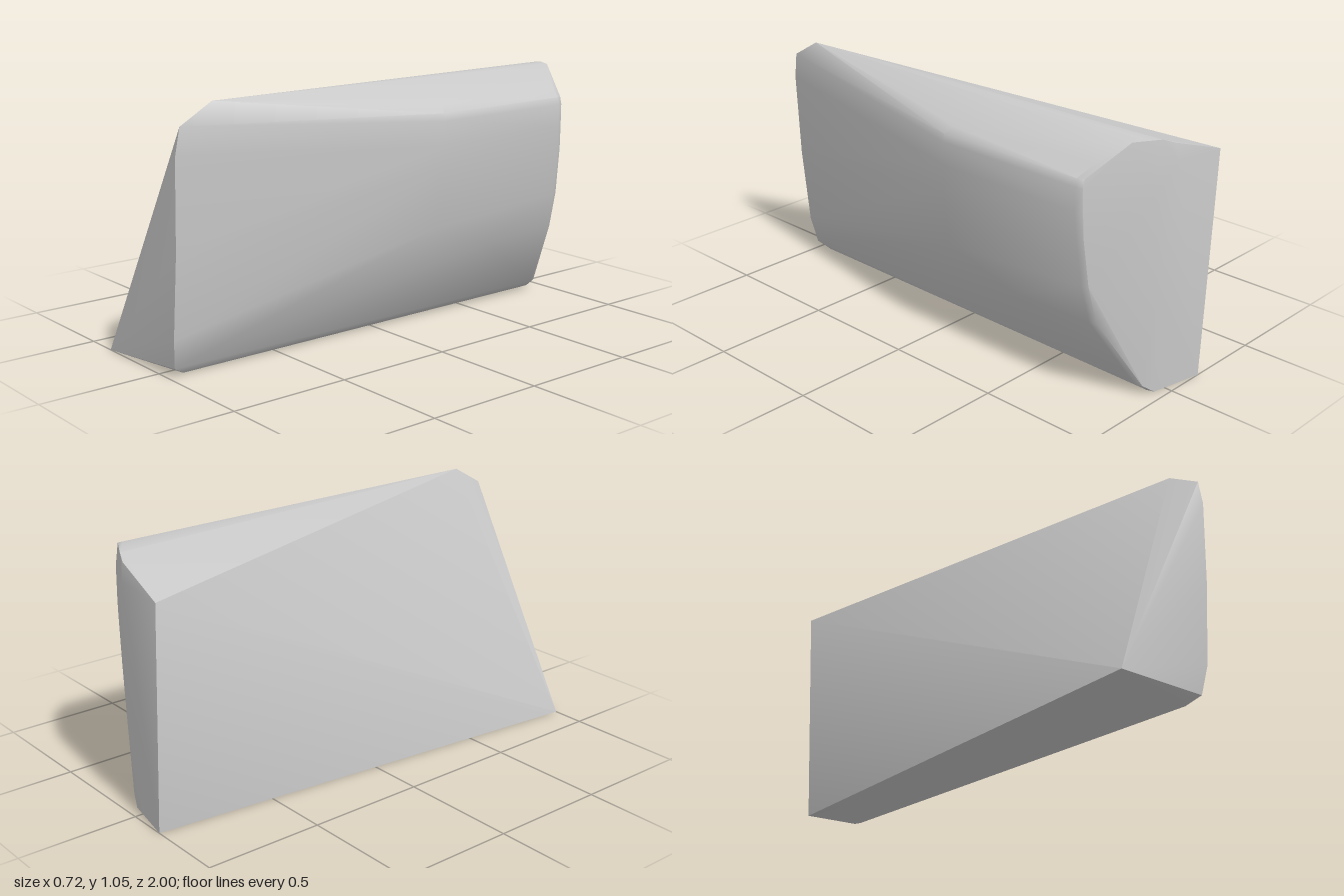
import * as THREE from 'three';
import { toCreasedNormals } from 'three/addons/utils/BufferGeometryUtils.js';
import { ConvexGeometry } from 'three/addons/geometries/ConvexGeometry.js';

// Corners of the wedge-shaped stone, grouped by the edge they describe
const flatCutCorners = [[-0.363, 0, 1], [-0.22, 0.937, -1], [-0.17, 0, -1]];
const frontRim = [
  [0.06, 0.005, 0.93], [0.09, 0.04, 0.985], [0.115, 0.16, 1], [0.147, 0.5, 1],
  [0.16, 0.86, 1], [0.164, 0.97, 0.98], [0.165, 1.05, 0.84],
];
const sideBulge = [
  [0.29, 0.33, -0.45], [0.322, 0.45, -0.12], [0.355, 0.7, -0.12],
  [0.361, 0.8, -0.13], [0.361, 0.895, -0.13], [0.353, 0.926, -0.13], [0.32, 0.953, -0.15],
];
const backRim = [
  [0.065, 0.003, -0.95], [0.115, 0.04, -0.93], [0.29, 0.34, -0.835], [0.33, 0.5, -0.825],
  [0.355, 0.7, -0.815], [0.361, 0.8, -0.81], [0.361, 0.895, -0.81],
  [0.353, 0.926, -0.81], [0.29, 0.973, -0.84],
];
const topRidge = [[0.185, 1.043, -0.9], [0.165, 1.05, -0.89], [0.14, 1.048, -0.91]];
const backFace = [
  [0.08, 1.04, -0.955], [0.03, 1.02, -0.975], [0.02, 0.95, -0.99],
  [0.1, 0.85, -0.965], [0.08, 0.4, -0.965],
];

// Doubles each point of a rim so that its edge becomes a narrow bevel
const bevel = (rim) => rim.flatMap(([x, y, z]) => [[x, y, z + 0.02], [x - 0.01, y, z - 0.007]]);

export function createModel() {
  const group = new THREE.Group();
  group.name = 'stoneShard';
  const stone = new THREE.MeshStandardMaterial({ color: 0xc8c8c8 });
  stone.name = 'stone grey';

  // One convex body: shallow facets blend, the cut edges stay sharp
  const points = [flatCutCorners, frontRim, sideBulge, bevel(backRim), topRidge, backFace]
    .flat().map((p) => new THREE.Vector3(...p));
  const shard = new THREE.Mesh(toCreasedNormals(new ConvexGeometry(points), 0.65), stone);
  shard.name = 'shard';
  group.add(shard);
  return group;
}
